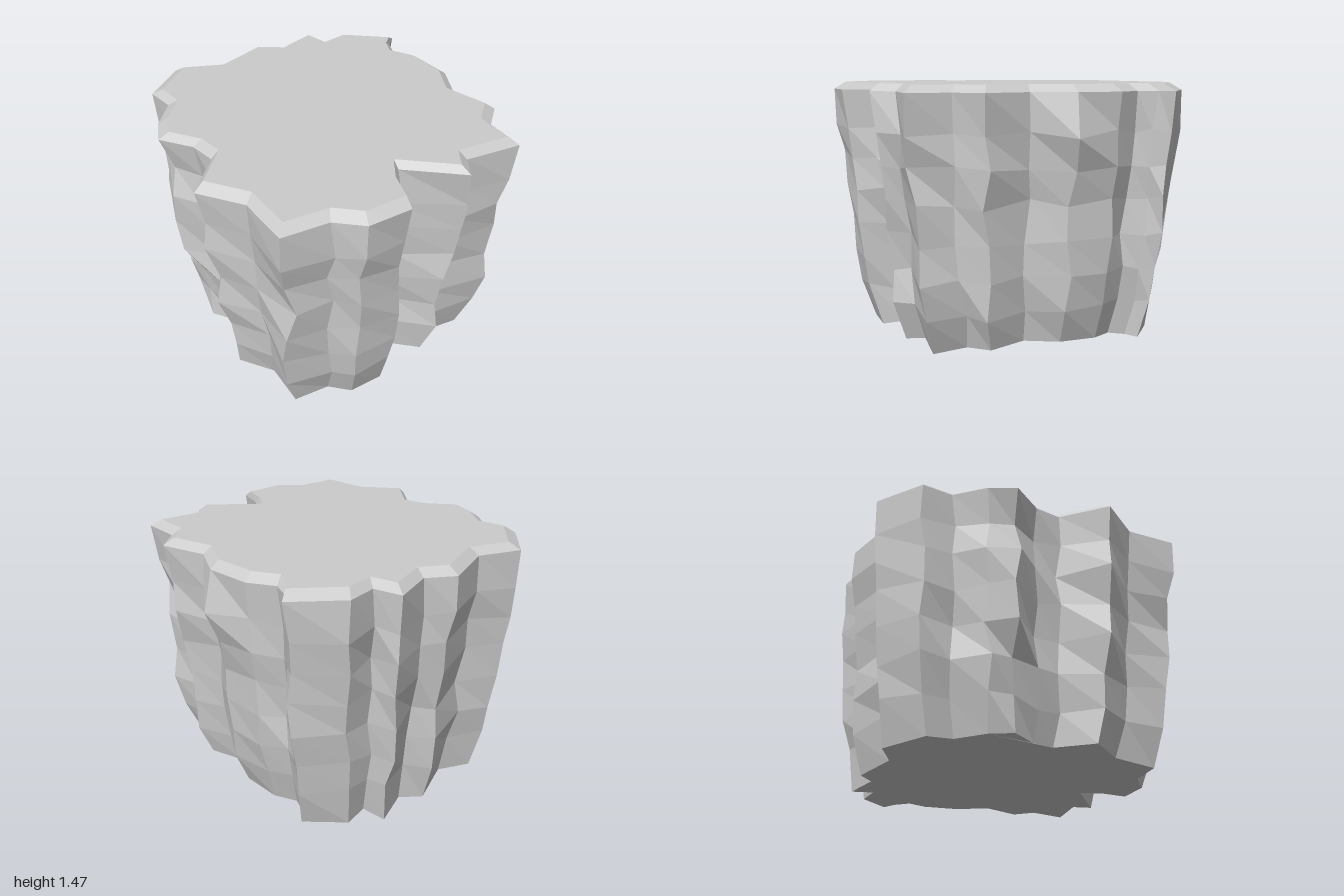
import * as THREE from 'three';

// Heights of the rings between base and rim
const LEVELS = [0.25, 0.45, 0.65, 0.85, 1.04, 1.22];
const RIM_Y = 1.43, TOP_Y = 1.47;

// Rim corners (x, z), clockwise from above
const RIM = [
  [-0.62, -0.89], [-0.37, -0.82], [-0.07, -0.97], [0.09, -0.89],
  [0.32, -1.00], [0.38, -0.85], [0.55, -0.90], [0.82, -0.73],
  [0.76, -0.66], [0.73, -0.55], [0.83, -0.42], [0.88, -0.16],
  [0.80, 0.07], [0.91, 0.33], [0.79, 0.47], [0.81, 0.71],
  [0.48, 0.71], [0.42, 0.84], [0.11, 0.64], [0.04, 0.79],
  [0.01, 0.96], [-0.24, 0.99], [-0.39, 0.89], [-0.65, 0.90],
  [-0.70, 0.60], [-0.90, 0.40], [-0.73, 0.15], [-0.78, 0.00],
  [-0.93, -0.15], [-0.89, -0.31], [-0.78, -0.49], [-0.83, -0.66],
];

// Sideways wander (x at each level) of the boldest ridges and grooves, by rim corner
const WANDER = {
  11: [0.79, 0.81, 0.82, 0.82, 0.86, 0.93],
  15: [0.74, 0.78, 0.75, 0.77, 0.73, 0.78],
  16: [0.44, 0.40, 0.44, 0.45, 0.47, 0.53],
  17: [0.39, 0.37, 0.38, 0.43, 0.44, 0.45],
  18: [0.11, 0.17, 0.09, 0.14, 0.09, 0.11],
  23: [-0.59, -0.62, -0.61, -0.56, -0.62, -0.65],
  25: [-0.75, -0.77, -0.84, -0.81, -0.88, -0.86],
  28: [-0.75, -0.78, -0.88, -0.90, -0.90, -0.86],
};

// Small repeatable noise in the range -0.022..0.022
function makeNoise(seed) {
  let s = seed;
  return () => {
    s = (s * 16807) % 2147483647;
    return (s / 2147483647 - 0.5) * 0.044;
  };
}

// The base is a smaller copy of the rim, dipping towards front and back
function basePoint([x, z]) {
  const bz = z * (z > 0 ? 0.79 : 0.85);
  return [x * 0.81, 0.063 * (1 - (bz / 0.85) ** 2), bz];
}

// Cross-section loops from base to rim
function buildRings() {
  const noise = makeNoise(4711);
  const base = RIM.map(basePoint);
  const middle = LEVELS.map((y, k) => {
    const f = Math.pow(y / RIM_Y, 0.65);
    return RIM.map(([x, z], i) => [
      WANDER[i] ? WANDER[i][k] : THREE.MathUtils.lerp(base[i][0], x, f) + noise(),
      y + noise(),
      THREE.MathUtils.lerp(base[i][2], z, f) + noise(),
    ]);
  });
  return [base, ...middle, RIM.map(([x, z]) => [x, RIM_Y, z])];
}

function toMesh(name, points, material) {
  const geometry = new THREE.BufferGeometry();
  geometry.setAttribute('position', new THREE.Float32BufferAttribute(points.flat(), 3));
  geometry.computeVertexNormals();
  const mesh = new THREE.Mesh(geometry, material);
  mesh.name = name;
  return mesh;
}

// Faceted band joining successive loops
function loft(rings) {
  const points = [];
  for (let k = 0; k < rings.length - 1; k++) {
    const low = rings[k], high = rings[k + 1];
    for (let i = 0; i < low.length; i++) {
      const j = (i + 1) % low.length;
      points.push(low[i], high[i], high[j], low[i], high[j], low[j]);
    }
  }
  return points;
}

// Filled loop facing up (1) or down (-1)
function cap(ring, facing) {
  const outline = ring.map(([x, , z]) => new THREE.Vector2(x, z));
  return THREE.ShapeUtils.triangulateShape(outline, []).flatMap(([a, b, c]) => {
    const ab = outline[b].clone().sub(outline[a]);
    const ac = outline[c].clone().sub(outline[a]);
    const up = -ab.cross(ac);
    return up * facing > 0 ? [ring[a], ring[b], ring[c]] : [ring[a], ring[c], ring[b]];
  });
}

export function createModel() {
  const group = new THREE.Group();
  group.name = 'rockBlock';
  const material = new THREE.MeshStandardMaterial({ color: 0xcccccc, flatShading: true });

  const rings = buildRings();
  const rim = rings[rings.length - 1];
  const top = rim.map(([x, , z]) => [x * 0.935, TOP_Y, z * 0.935]);

  group.add(
    toMesh('ridgedSides', loft(rings), material),
    toMesh('bevelledRim', loft([rim, top]), material),
    toMesh('flatTop', cap(top, 1), material),
    toMesh('underside', cap(rings[0], -1), material),
  );
  return group;
}
